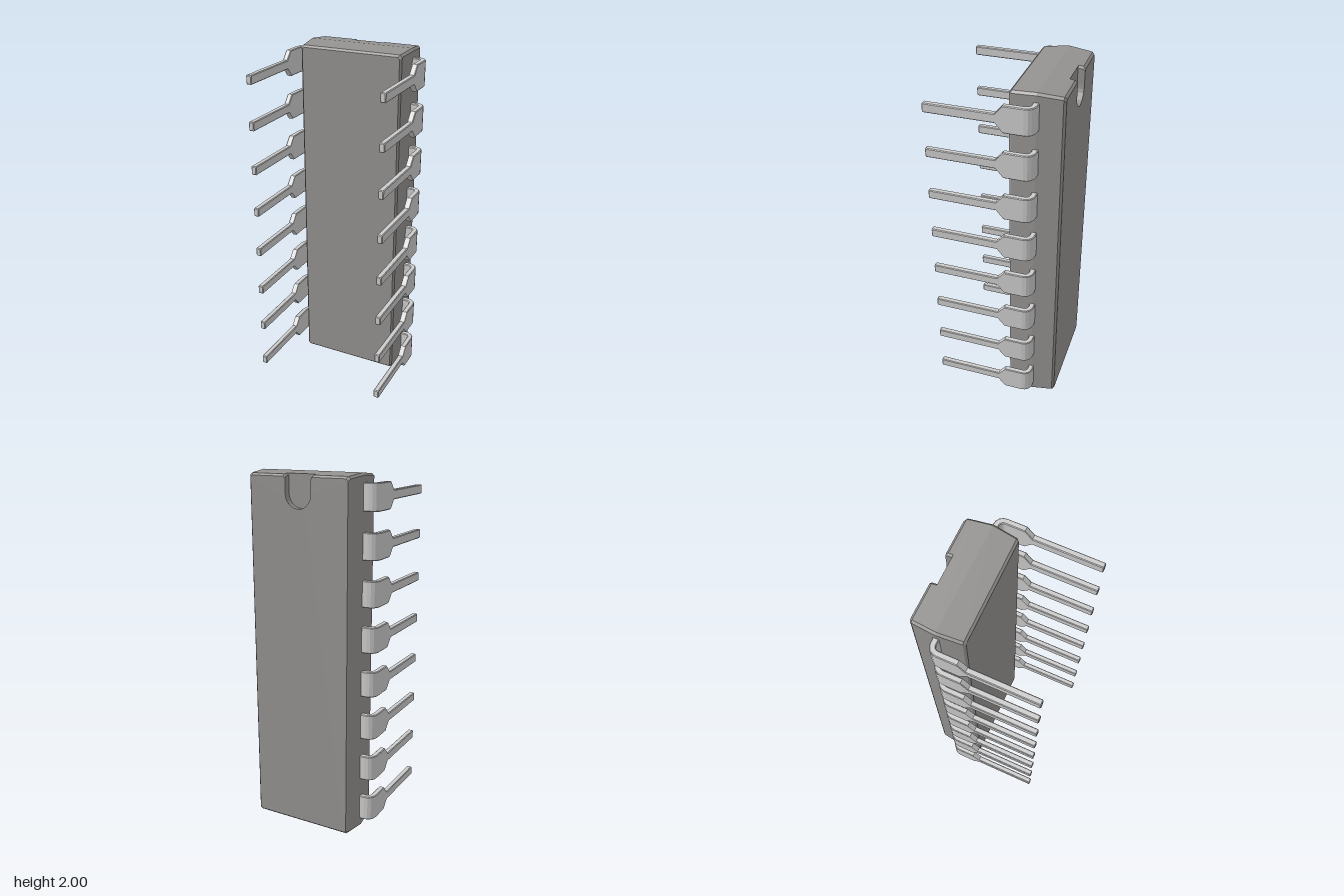
import * as THREE from 'three';

// Skin a list of equal-length rings (counter-clockwise about the direction of travel).
function loft(rings, capStart, capEnd) {
  const pos = [];
  const put = (...pts) => pts.forEach((p) => pos.push(p.x, p.y, p.z));
  const n = rings[0].length;
  for (let i = 0; i + 1 < rings.length; i++) {
    for (let j = 0; j < n; j++) {
      const k = (j + 1) % n;
      const a = rings[i][j], b = rings[i][k], c = rings[i + 1][k], d = rings[i + 1][j];
      put(a, b, c, a, c, d);
    }
  }
  const cap = (ring, flip) => {
    const flat = ring.map((p) => new THREE.Vector2(p.x, p.y));
    for (const [a, b, c] of THREE.ShapeUtils.triangulateShape(flat, [])) {
      if (flip) put(ring[a], ring[c], ring[b]);
      else put(ring[a], ring[b], ring[c]);
    }
  };
  if (capStart) cap(rings[0], true);
  if (capEnd) cap(rings[rings.length - 1], false);
  const geo = new THREE.BufferGeometry();
  geo.setAttribute('position', new THREE.Float32BufferAttribute(pos, 3));
  geo.computeVertexNormals();
  return geo;
}

// Rectangle with cut corners, counter-clockwise, starting at the upper right.
function cutRect(w, h, c) {
  return [[w, h - c], [w - c, h], [c - w, h], [-w, h - c],
    [-w, c - h], [c - w, -h], [w - c, -h], [w, c - h]];
}

// Outline of the package at one depth, optionally with the U notch in its top edge.
function bodyRing([z, w, h], notched) {
  const pts = cutRect(w, h, 0.012);
  if (notched) {
    const r = 0.076, cy = 0.891, bevel = 0.011;
    const u = [[r + bevel, h], [r, h - bevel]];
    for (let i = 0; i <= 12; i++) {
      const a = (-Math.PI * i) / 12;
      u.push([r * Math.cos(a), cy + r * Math.sin(a)]);
    }
    u.push([-r, h - bevel], [-r - bevel, h]);
    pts.splice(2, 0, ...u);
  }
  return pts.map(([x, y]) => new THREE.Vector3(x, y + 1, z));
}

// Bent pin: flat shoulder, quarter bend, taper, then a thin leg.
function pinGeometry() {
  const wide = 0.072, thin = 0.025, half = 0.0155, bend = 0.037;
  const stations = [[0.295, -0.207, 0, wide, half]];
  for (let i = 0; i <= 4; i++) {
    const a = (Math.PI / 2) * (i / 4);
    stations.push([0.338 + bend * Math.sin(a), -0.17 - bend * Math.cos(a), a, wide, half]);
  }
  const q = Math.PI / 2;
  stations.push([0.375, -0.065, q, wide, half], [0.375, -0.025, q, thin, half],
    [0.375, 0.344, q, thin, half], [0.375, 0.348, q, thin - 0.004, half - 0.004]);
  const rings = stations.map(([x, z, a, hw, t]) => cutRect(t, hw, 0.004).map(([u, v]) =>
    new THREE.Vector3(x + u * Math.sin(a), v, z - u * Math.cos(a))));
  return loft(rings, false, true);
}

export function createModel() {
  const model = new THREE.Group();
  const bodyMat = new THREE.MeshStandardMaterial({ color: 0x949290, flatShading: true });
  const pinMat = new THREE.MeshStandardMaterial({ color: 0xcccccc, flatShading: true });

  // Package: depth, half width, half height at each layer
  const body = new THREE.Group();
  body.name = 'body';
  const back = [[-0.348, 0.288, 0.977], [-0.336, 0.298, 0.988], [-0.31, 0.301, 0.991]];
  const front = [back[2], [-0.207, 0.312, 1], [-0.077, 0.298, 0.988], [-0.065, 0.288, 0.977]];
  const backMesh = new THREE.Mesh(loft(back.map((s) => bodyRing(s, true)), true, false), bodyMat);
  backMesh.name = 'notchedBack';
  const frontMesh = new THREE.Mesh(loft(front.map((s) => bodyRing(s, false)), true, true), bodyMat);
  frontMesh.name = 'mainBody';
  body.add(backMesh, frontMesh);
  model.add(body);

  // Two rows of eight pins; the right row is turned half a turn about z
  const geo = pinGeometry();
  for (const side of ['left', 'right']) {
    const row = new THREE.Group();
    row.name = side + 'Pins';
    for (let i = 0; i < 8; i++) {
      const pin = new THREE.Mesh(geo, pinMat);
      pin.name = side + 'Pin' + (i + 1);
      pin.position.y = 0.13 + 0.25 * i;
      if (side === 'right') pin.rotation.z = Math.PI;
      row.add(pin);
    }
    model.add(row);
  }
  return model;
}
